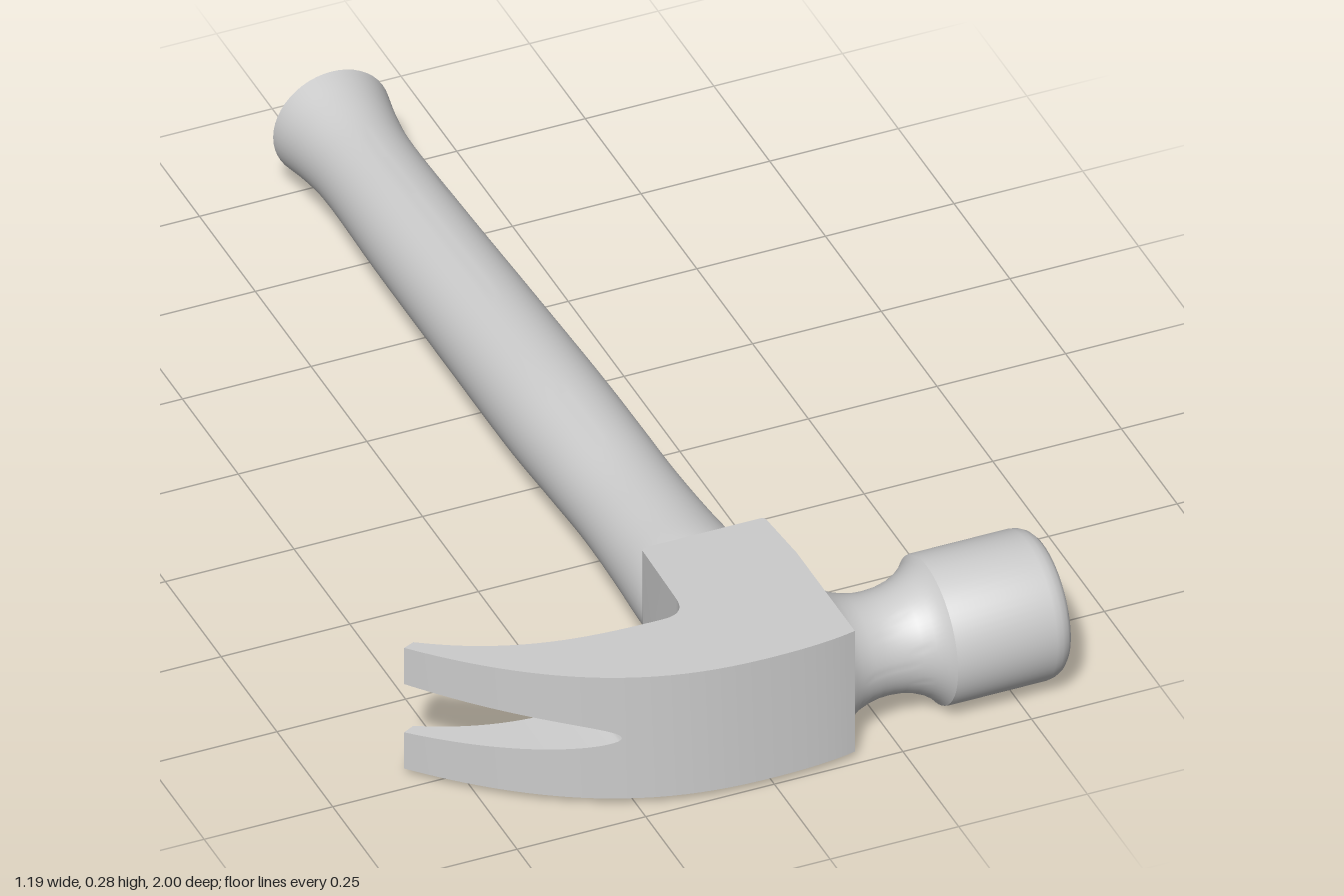
import * as THREE from 'three';
import { mergeGeometries, toCreasedNormals } from 'three/addons/utils/BufferGeometryUtils.js';

const material = new THREE.MeshStandardMaterial({ color: 0xcccccc });
const BOTTOM = 0.015, TOP = 0.28, MID = 0.1475;
const SLOT_X = -0.275;

// Claw curves in plan: outer sweep, inner sweep and half width of the nail slot
const outerZ = (x) => 1 - 0.948 * Math.pow(Math.max(0, -x), 2.3);
const innerZ = (x) => 0.816 - 1.016 * Math.pow(Math.max(0, -x - 0.13), 2.7);
const slotHalf = (x) => 0.053 * Math.sqrt(Math.max(0, SLOT_X - x) / 0.32);

function addMesh(group, name, geometry, crease = 0.6) {
  const mesh = new THREE.Mesh(toCreasedNormals(geometry, crease), material);
  mesh.name = name;
  group.add(mesh);
}

// Skin a list of rings (arrays of Vector3) and close both ends with fans
function loft(rings, startCentre, endCentre) {
  const n = rings[0].length, pos = [];
  const tri = (...points) => points.forEach((p) => pos.push(p.x, p.y, p.z));
  for (let i = 0; i < rings.length - 1; i++) {
    for (let j = 0; j < n; j++) {
      const k = (j + 1) % n;
      const a = rings[i][j], b = rings[i][k], c = rings[i + 1][k], d = rings[i + 1][j];
      tri(a, b, c);
      tri(a, c, d);
    }
  }
  const first = rings[0], last = rings[rings.length - 1];
  const mean = (ring) => ring.reduce((s, p) => s.add(p), new THREE.Vector3()).divideScalar(n);
  const c0 = startCentre || mean(first), c1 = endCentre || mean(last);
  for (let j = 0; j < n; j++) {
    const k = (j + 1) % n;
    tri(c0, first[k], first[j]);
    tri(c1, last[j], last[k]);
  }
  const geometry = new THREE.BufferGeometry();
  geometry.setAttribute('position', new THREE.Float32BufferAttribute(pos, 3));
  return geometry;
}

// Solid centre of the head, with the root of the claw
function headBody() {
  const shape = new THREE.Shape();
  shape.moveTo(SLOT_X, outerZ(SLOT_X));
  shape.lineTo(SLOT_X, innerZ(SLOT_X));
  for (let i = 1; i <= 6; i++) {
    const x = SLOT_X + (0.14 * i) / 6;
    shape.lineTo(x, innerZ(x));
  }
  shape.bezierCurveTo(-0.105, 0.816, -0.09, 0.8, -0.09, 0.765);
  shape.lineTo(-0.087, 0.612);
  shape.quadraticCurveTo(-0.086, 0.602, -0.076, 0.602);
  shape.lineTo(0.143, 0.602);
  shape.quadraticCurveTo(0.153, 0.602, 0.154, 0.612);
  shape.lineTo(0.163, 0.725);
  shape.lineTo(0.163, 0.985);
  shape.quadraticCurveTo(0.1, 1, 0, 1);
  for (let i = 1; i < 10; i++) {
    const x = (SLOT_X * i) / 10;
    shape.lineTo(x, outerZ(x));
  }
  const g = new THREE.ExtrudeGeometry(shape, { depth: TOP - BOTTOM, bevelEnabled: false, curveSegments: 8 });
  g.rotateX(Math.PI / 2).translate(0, TOP, 0);
  g.deleteAttribute('uv');
  g.deleteAttribute('normal');
  return g;
}

// One prong of the claw; side is +1 for the upper, -1 for the lower
function prong(side) {
  const rings = [];
  for (let i = 0; i <= 24; i++) {
    const t = Math.pow(i / 24, 1.6);
    const xo = THREE.MathUtils.lerp(SLOT_X, -0.595, t);
    const xi = THREE.MathUtils.lerp(SLOT_X, -0.573, t);
    const low = (x) => (side > 0 ? MID + slotHalf(x) : BOTTOM);
    const high = (x) => (side > 0 ? TOP : MID - slotHalf(x));
    rings.push([
      new THREE.Vector3(xi, low(xi), innerZ(xi)),
      new THREE.Vector3(xo, low(xo), outerZ(xo)),
      new THREE.Vector3(xo, high(xo), outerZ(xo)),
      new THREE.Vector3(xi, high(xi), innerZ(xi)),
    ]);
  }
  return loft(rings);
}

// Neck and striking face, turned around the x axis
function striker() {
  const profile = [
    [0.13, 0.15], [0.13, 0.163], [0.123, 0.172], [0.111, 0.19], [0.102, 0.215], [0.097, 0.24],
    [0.096, 0.26], [0.098, 0.285], [0.104, 0.31], [0.114, 0.332], [0.127, 0.35], [0.139, 0.36],
    [0.14, 0.365], [0.14, 0.553], [0.138, 0.566], [0.132, 0.578], [0.123, 0.586], [0.114, 0.589], [0, 0.595],
  ].map(([r, x]) => new THREE.Vector2(r, x));
  const g = new THREE.LatheGeometry(profile, 64);
  return g.rotateZ(-Math.PI / 2).translate(0, 0.14, 0.855);
}

// Oval grip: stations of z, left edge, right edge and half height
function handle() {
  const stations = [
    [-0.988, -0.112, 0.115, 0.112], [-0.92, -0.099, 0.103, 0.101], [-0.84, -0.091, 0.095, 0.094],
    [-0.6, -0.093, 0.1, 0.097], [-0.3, -0.092, 0.111, 0.102], [0, -0.09, 0.121, 0.107],
    [0.15, -0.084, 0.124, 0.104], [0.3, -0.079, 0.127, 0.1], [0.45, -0.081, 0.135, 0.105],
    [0.57, -0.085, 0.146, 0.112], [0.6, -0.083, 0.146, 0.11], [0.63, -0.075, 0.135, 0.1],
  ];
  const edges = new THREE.CatmullRomCurve3(stations.map(([z, l, r]) => new THREE.Vector3(l, r, z)));
  const heights = new THREE.CatmullRomCurve3(stations.map(([z, , , h]) => new THREE.Vector3(0, h, z)));
  const rings = [];
  for (let i = 0; i <= 55; i++) {
    const e = edges.getPoint(i / 55), h = heights.getPoint(i / 55).y;
    const ring = [];
    for (let j = 0; j < 48; j++) {
      const a = (j / 48) * Math.PI * 2;
      ring.push(new THREE.Vector3((e.x + e.y) / 2 + ((e.y - e.x) / 2) * Math.cos(a), 0.142 + h * Math.sin(a), e.z));
    }
    rings.push(ring);
  }
  return loft(rings, new THREE.Vector3(0, 0.142, -1));
}

export function createModel() {
  const hammer = new THREE.Group();
  hammer.name = 'clawHammer';
  addMesh(hammer, 'headAndClaw', mergeGeometries([headBody(), prong(1), prong(-1)]));
  addMesh(hammer, 'striker', striker());
  addMesh(hammer, 'handle', handle());
  return hammer;
}
